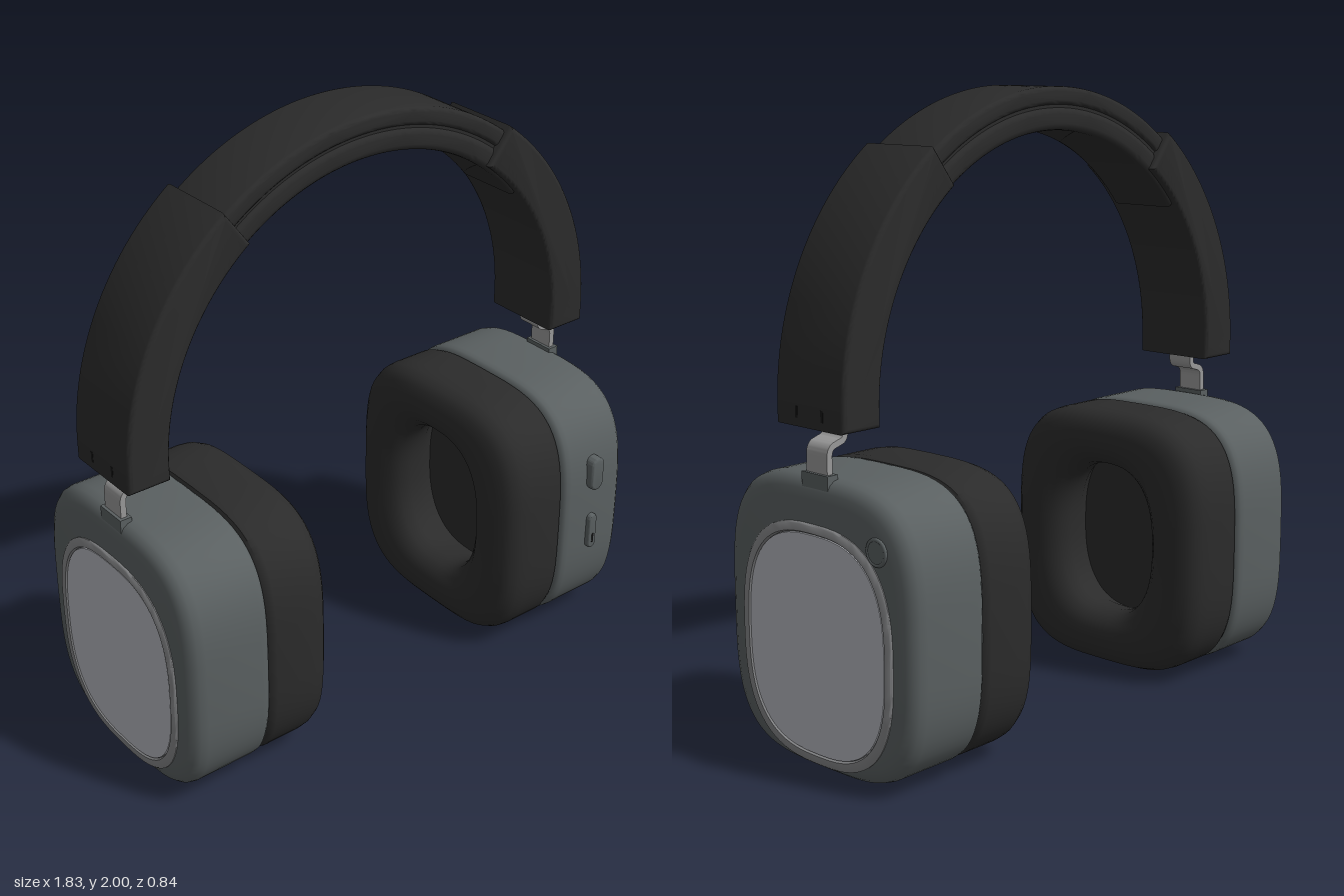
import * as THREE from 'three';
import { toCreasedNormals } from 'three/addons/utils/BufferGeometryUtils.js';

const mat = (name, color) => {
  const m = new THREE.MeshStandardMaterial({ color });
  m.name = name;
  return m;
};

// Closed loft along x: each ring is [x, half width z, half height y, squareness]
function loft(rings, cy, segments = 72) {
  const pos = [], index = [];
  const power = (v, n) => Math.sign(v) * Math.pow(Math.abs(v), 2 / n);
  rings.forEach(([x, hw, hh, n]) => {
    for (let j = 0; j < segments; j++) {
      const t = (j / segments) * Math.PI * 2;
      pos.push(x, cy + hh * power(Math.sin(t), n), hw * power(Math.cos(t), n));
    }
  });
  for (let i = 0; i < rings.length - 1; i++) {
    for (let j = 0; j < segments; j++) {
      const k = (j + 1) % segments;
      const a = i * segments + j, d = i * segments + k;
      const b = a + segments, c = d + segments;
      if (rings[i + 1][1] > 0) index.push(a, b, c);
      if (rings[i][1] > 0) index.push(a, c, d);
      else if (rings[i + 1][1] > 0) continue;
    }
  }
  const g = new THREE.BufferGeometry();
  g.setAttribute('position', new THREE.Float32BufferAttribute(pos, 3));
  g.setIndex(index);
  return toCreasedNormals(g, 0.8);
}

// Flat shape in xy, extruded to a given width in z with rounded edges
function slab(shape, width, bevel) {
  const g = new THREE.ExtrudeGeometry(shape, {
    depth: width - 2 * bevel, curveSegments: 40, bevelEnabled: bevel > 0,
    bevelSize: bevel, bevelThickness: bevel, bevelOffset: -bevel, bevelSegments: 3,
  });
  g.translate(0, 0, -(width - 2 * bevel) / 2);
  return toCreasedNormals(g, 0.6);
}

const ARC_Y = 1.105;

// Part of a ring between two angles; drop adds a straight lower end
function arcShape(inner, outer, from, to, drop = 0) {
  const s = new THREE.Shape();
  if (drop) {
    s.moveTo(inner, ARC_Y - drop);
    s.lineTo(outer, ARC_Y - drop);
  }
  s.absarc(0, ARC_Y, outer, from, to, false);
  s.absarc(0, ARC_Y, inner, to, from, true);
  s.closePath();
  return s;
}

export function createModel() {
  const black = mat('softBlack', 0x2b2b2b);
  const grey = mat('shellGrey', 0x5a6061);
  const trim = mat('trimGrey', 0x868789);
  const silver = mat('plateSilver', 0xb5b7bd);
  const steel = mat('armSteel', 0x999999);
  const dark = mat('slotBlack', 0x161616);

  const model = new THREE.Group();
  model.name = 'headphones';
  const body = new THREE.Group();
  body.name = 'body';
  body.position.z = -0.008;
  model.add(body);

  const add = (parent, name, geometry, material, x = 0, y = 0, z = 0) => {
    const m = new THREE.Mesh(geometry, material);
    m.name = name;
    m.position.set(x, y, z);
    parent.add(m);
    return m;
  };

  // Headband: outer strap, recessed core and inner pad leave a groove in the side
  const a0 = 0.69, a1 = Math.PI - a0;
  add(body, 'bandOuter', slab(arcShape(0.838, 0.895, a0, a1), 0.255, 0.014), black);
  add(body, 'bandCore', slab(arcShape(0.80, 0.86, a0, a1), 0.235, 0), black);
  add(body, 'bandPad', slab(arcShape(0.76, 0.832, a0, a1), 0.255, 0.02), black);

  // Bent steel strip joining sleeve and cup
  const path = new THREE.CurvePath();
  const v = (x, y) => new THREE.Vector2(x, y);
  path.add(new THREE.LineCurve(v(0.818, 1.10), v(0.818, 1.03)));
  path.add(new THREE.QuadraticBezierCurve(v(0.818, 1.03), v(0.818, 1.008), v(0.84, 1.005)));
  path.add(new THREE.LineCurve(v(0.84, 1.005), v(0.856, 1.0)));
  path.add(new THREE.QuadraticBezierCurve(v(0.856, 1.0), v(0.88, 0.995), v(0.88, 0.965)));
  path.add(new THREE.LineCurve(v(0.88, 0.965), v(0.88, 0.86)));
  const left = [], right = [];
  for (let i = 0; i <= 60; i++) {
    const p = path.getPointAt(i / 60), t = path.getTangentAt(i / 60);
    left.push(v(p.x - t.y * 0.01, p.y + t.x * 0.01));
    right.unshift(v(p.x + t.y * 0.01, p.y - t.x * 0.01));
  }
  const armShape = new THREE.Shape([...left, ...right]);

  const N = 3.5, CUP_Y = 0.453;
  const shellRings = [
    [0.616, 0, 0, N], [0.616, 0.385, 0.425, N], [0.62, 0.4, 0.44, N], [0.632, 0.408, 0.448, N],
    [0.65, 0.41, 0.45, N], [0.85, 0.41, 0.45, N], [0.875, 0.405, 0.445, N],
    [0.892, 0.393, 0.433, N], [0.903, 0.372, 0.412, N], [0.907, 0.345, 0.385, N], [0.907, 0, 0, N],
  ];
  const cushionRings = [
    [0.57, 0, 0, 2.5], [0.57, 0.23, 0.29, 2.5], [0.51, 0.2, 0.265, 2.5], [0.45, 0.193, 0.258, 2.5],
    [0.41, 0.203, 0.267, 2.5], [0.382, 0.232, 0.29, 2.6], [0.368, 0.268, 0.32, 2.8],
    [0.365, 0.3, 0.347, 3], [0.368, 0.333, 0.378, 3.2], [0.38, 0.366, 0.41, 3.4],
    [0.4, 0.39, 0.433, N], [0.43, 0.402, 0.445, N], [0.465, 0.406, 0.448, N],
    [0.59, 0.406, 0.448, N], [0.608, 0.4, 0.442, N], [0.616, 0.385, 0.425, N], [0.63, 0.37, 0.41, N],
  ];
  const P = 2.75;
  const rimRings = [
    [0.87, 0.327, 0.368, P], [0.91, 0.327, 0.368, P], [0.915, 0.322, 0.363, P],
    [0.915, 0.3, 0.341, P], [0.909, 0.296, 0.337, P], [0.9, 0.296, 0.337, P],
  ];
  const plateRings = [[0.89, 0.298, 0.339, P], [0.912, 0.294, 0.335, P], [0.912, 0, 0, P]];

  // Both sides share the same parts; the second is turned half round
  ['left', 'right'].forEach((name, i) => {
    const side = new THREE.Group();
    side.name = name + 'Side';
    side.rotation.y = i * Math.PI;
    body.add(side);

    add(side, 'sleeve', slab(arcShape(0.77, 0.915, 0, 0.932, 0.055), 0.295, 0.014), black);
    for (const z of [-0.055, 0.055]) {
      add(side, 'sleeveSlit', new THREE.BoxGeometry(0.004, 0.035, 0.01), dark, 0.914, 1.092, z);
      add(side, 'sleeveHole', new THREE.BoxGeometry(0.02, 0.004, 0.012), dark, 0.87, 1.05, z);
    }
    add(side, 'arm', slab(armShape, 0.09, 0), steel);
    add(side, 'armSocket', new THREE.BoxGeometry(0.04, 0.05, 0.112), grey, 0.88, 0.89);
    add(side, 'cupShell', loft(shellRings, CUP_Y), grey);
    add(side, 'earCushion', loft(cushionRings, CUP_Y), black);
    add(side, 'plateRim', loft(rimRings, 0.398), trim);
    add(side, 'facePlate', loft(plateRings, 0.398), silver);
  });

  // Controls on the left cup only
  const controls = new THREE.Group();
  controls.name = 'controls';
  body.add(controls);
  const pill = (w, h) => {
    const s = new THREE.Shape(), r = w / 2, k = h / 2 - r;
    s.absarc(0, k, r, 0, Math.PI, false);
    s.absarc(0, -k, r, Math.PI, Math.PI * 2, false);
    s.closePath();
    return s;
  };
  add(controls, 'volumeButton', slab(pill(0.056, 0.125), 0.07, 0.008), grey, 0.75, 0.625, 0.398);
  add(controls, 'modeButton', slab(pill(0.036, 0.135), 0.06, 0.006), grey, 0.75, 0.392, 0.397);
  add(controls, 'modeMark', new THREE.BoxGeometry(0.006, 0.035, 0.004), dark, 0.75, 0.365, 0.427);

  const ring = new THREE.TorusGeometry(0.037, 0.006, 10, 36).rotateY(Math.PI / 2);
  add(controls, 'roundButtonRing', ring, grey, 0.908, 0.733, -0.267);
  const cap = new THREE.CylinderGeometry(0.033, 0.033, 0.02, 36).rotateZ(Math.PI / 2);
  add(controls, 'roundButton', cap, grey, 0.902, 0.733, -0.267);

  // Charging slot under the cup
  const slot = slab(pill(0.03, 0.085), 0.008, 0).rotateX(Math.PI / 2);
  add(controls, 'portRim', slot, grey, 0.77, 0.003, 0);
  const port = slab(pill(0.018, 0.07), 0.008, 0).rotateX(Math.PI / 2);
  add(controls, 'port', port, dark, 0.77, 0.002, 0);

  return model;
}
